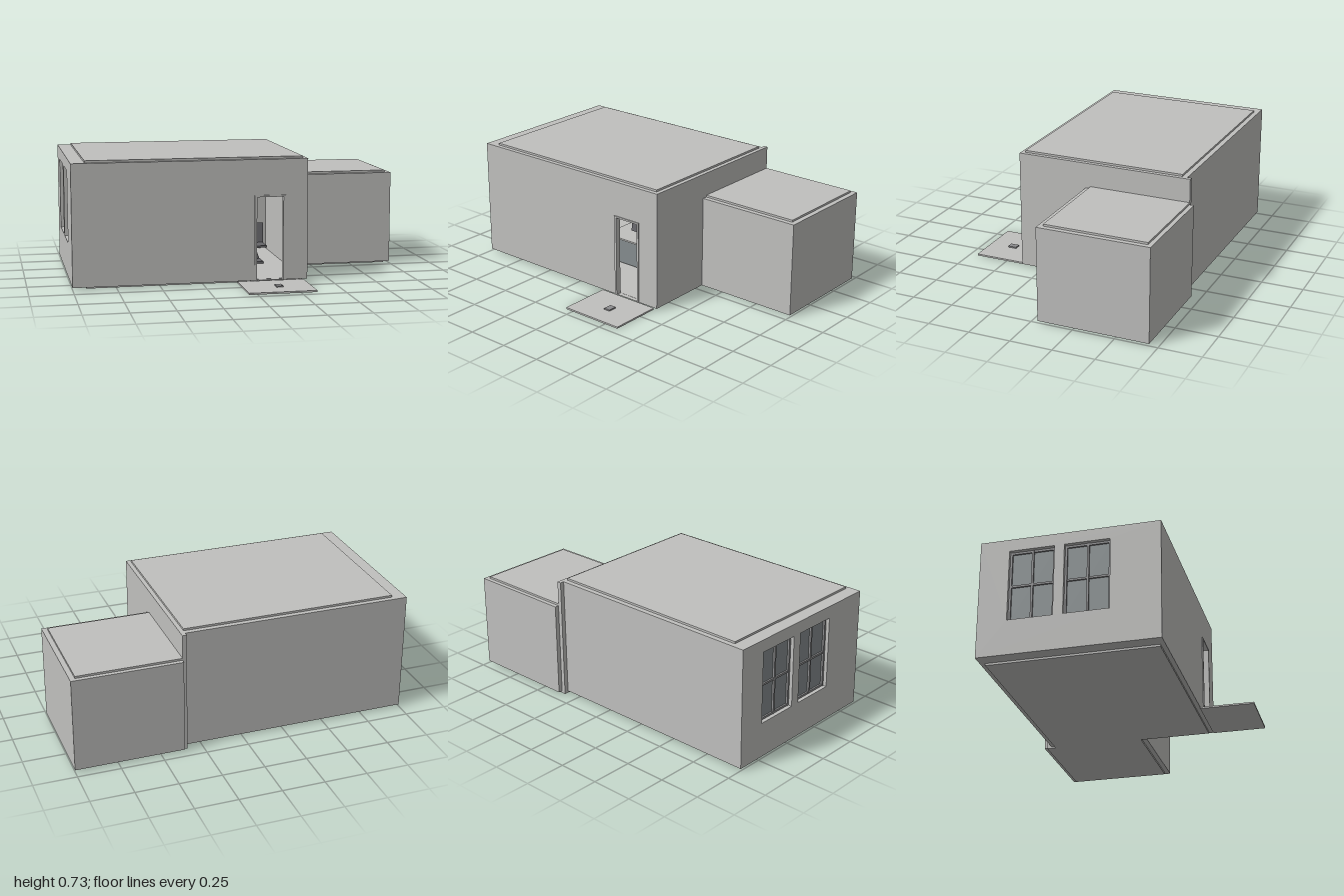
import * as THREE from 'three';

const mat = (name, color) => {
  const m = new THREE.MeshStandardMaterial({ color });
  m.name = name;
  return m;
};

export function createModel() {
  const plaster = mat('plaster', 0xc0c0be);
  const glass = mat('glass', 0x868d8f);
  const metal = mat('metal', 0x8c8c8e);
  const fabric = mat('fabric', 0x66666a);
  const model = new THREE.Group();
  model.name = 'house';

  // Box from its minimum and maximum corners
  const box = (name, m, [x0, y0, z0], [x1, y1, z1], parent = model) => {
    const mesh = new THREE.Mesh(new THREE.BoxGeometry(x1 - x0, y1 - y0, z1 - z0), m);
    mesh.position.set((x0 + x1) / 2, (y0 + y1) / 2, (z0 + z1) / 2);
    mesh.name = name;
    parent.add(mesh);
    return mesh;
  };
  const rect = (T, a0, b0, a1, b1) => new T([[a0, b0], [a1, b0], [a1, b1], [a0, b1]].map(p => new THREE.Vector2(...p)));
  // Wall slab with rectangular openings
  const wall = (name, outer, holes, depth) => {
    const s = rect(THREE.Shape, ...outer);
    s.holes = holes.map(h => rect(THREE.Path, ...h));
    const mesh = new THREE.Mesh(new THREE.ExtrudeGeometry(s, { depth, bevelEnabled: false }), plaster);
    mesh.name = name;
    model.add(mesh);
    return mesh;
  };

  const base = 0.012, top = 0.718, low = 0.568;

  // Main block walls
  wall('frontWall', [-0.92, base, 0.34, top], [[0.064, base + 0.001, 0.22, 0.5]], 0.027).position.z = 0.355;
  box('backWall', plaster, [-0.92, base, -0.65], [0.34, top, -0.62]);
  box('dividingWall', plaster, [0.34, base, -0.675], [0.365, top, 0.382]);
  const windows = [[-0.48, 0.22, -0.22, 0.645], [-0.163, 0.22, 0.097, 0.645]];
  const side = wall('windowWall', [-0.65, base, 0.382, top], windows, 0.08);
  side.rotation.y = -Math.PI / 2;
  side.position.x = -0.92;

  // Two windows with four panes each
  for (const [z0, y0, z1, y1] of windows) {
    const g = new THREE.Group();
    g.name = 'window';
    model.add(g);
    box('windowGlass', glass, [-0.967, y0, z0], [-0.96, y1, z1], g);
    const zm = (z0 + z1) / 2, ym = (y0 + y1) / 2, t = 0.012;
    for (const z of [z0 + t / 2, zm, z1 - t / 2])
      box('mullion', metal, [-0.979, y0, z - t / 2], [-0.95, y1, z + t / 2], g);
    for (const y of [y0 + t / 2, ym, y1 - t / 2])
      box('transom', metal, [-0.977, y - t / 2, z0], [-0.952, y + t / 2, z1], g);
  }

  // Annex walls
  box('annexBackWall', plaster, [0.365, base, -0.7], [1, low, -0.675]);
  box('annexFrontWall', plaster, [0.365, base, -0.07], [1, low, -0.04]);
  box('annexSideWall', plaster, [0.97, base, -0.675], [1, low, -0.07]);

  // Floors and raised roof panels
  box('floor', plaster, [-0.92, 0, -0.62], [0.34, 0.014, 0.355]);
  box('annexFloor', plaster, [0.34, 0, -0.675], [0.97, 0.014, -0.07]);
  box('roof', plaster, [-0.92, 0.705, -0.62], [0.34, 0.73, 0.355]);
  box('annexRoof', plaster, [0.365, 0.555, -0.675], [0.97, 0.58, -0.07]);

  // Door frame, entrance slab and floor plate
  box('doorJamb', plaster, [0.05, base, 0.375], [0.064, 0.51, 0.388]);
  box('doorJamb', plaster, [0.22, base, 0.375], [0.232, 0.51, 0.388]);
  box('doorHead', plaster, [0.064, 0.5, 0.375], [0.22, 0.51, 0.388]);
  box('entranceSlab', plaster, [-0.05, 0, 0.383], [0.342, 0.01, 0.7]);
  box('entrancePlate', metal, [0.135, 0.01, 0.525], [0.175, 0.018, 0.578]);

  // Wall panel inside
  box('wallPanel', glass, [0.11, 0.34, -0.62], [0.18, 0.45, -0.612]);

  // Desk
  const desk = new THREE.Group();
  desk.name = 'desk';
  model.add(desk);
  box('deskTop', plaster, [-0.32, 0.182, -0.18], [0.087, 0.192, 0.05], desk);
  for (const x of [-0.31, 0.077])
    box('deskSide', plaster, [x, 0.014, -0.17], [x + 0.008, 0.182, 0.04], desk);
  box('deskPanel', glass, [-0.302, 0.02, 0.02], [0.062, 0.182, 0.028], desk);
  const screen = box('screen', fabric, [-0.2, 0.21, -0.07], [-0.03, 0.31, -0.06], desk);
  screen.rotation.x = -0.15;
  box('screenStand', fabric, [-0.13, 0.192, -0.09], [-0.1, 0.25, -0.07], desk);

  // Chair with tilted back and slanted legs
  const chair = new THREE.Group();
  chair.name = 'chair';
  model.add(chair);
  box('chairSeat', fabric, [0.1, 0.115, -0.22], [0.23, 0.127, -0.09], chair);
  const back = box('chairBack', fabric, [0.135, 0.12, -0.23], [0.235, 0.25, -0.22], chair);
  back.rotation.set(-0.15, 0, -0.04);
  const support = box('chairSupport', fabric, [0.115, 0.02, -0.18], [0.185, 0.12, -0.17], chair);
  support.rotation.z = 0.35;
  box('chairFoot', fabric, [0.13, 0.014, -0.21], [0.21, 0.028, -0.1], chair);

  return model;
}
